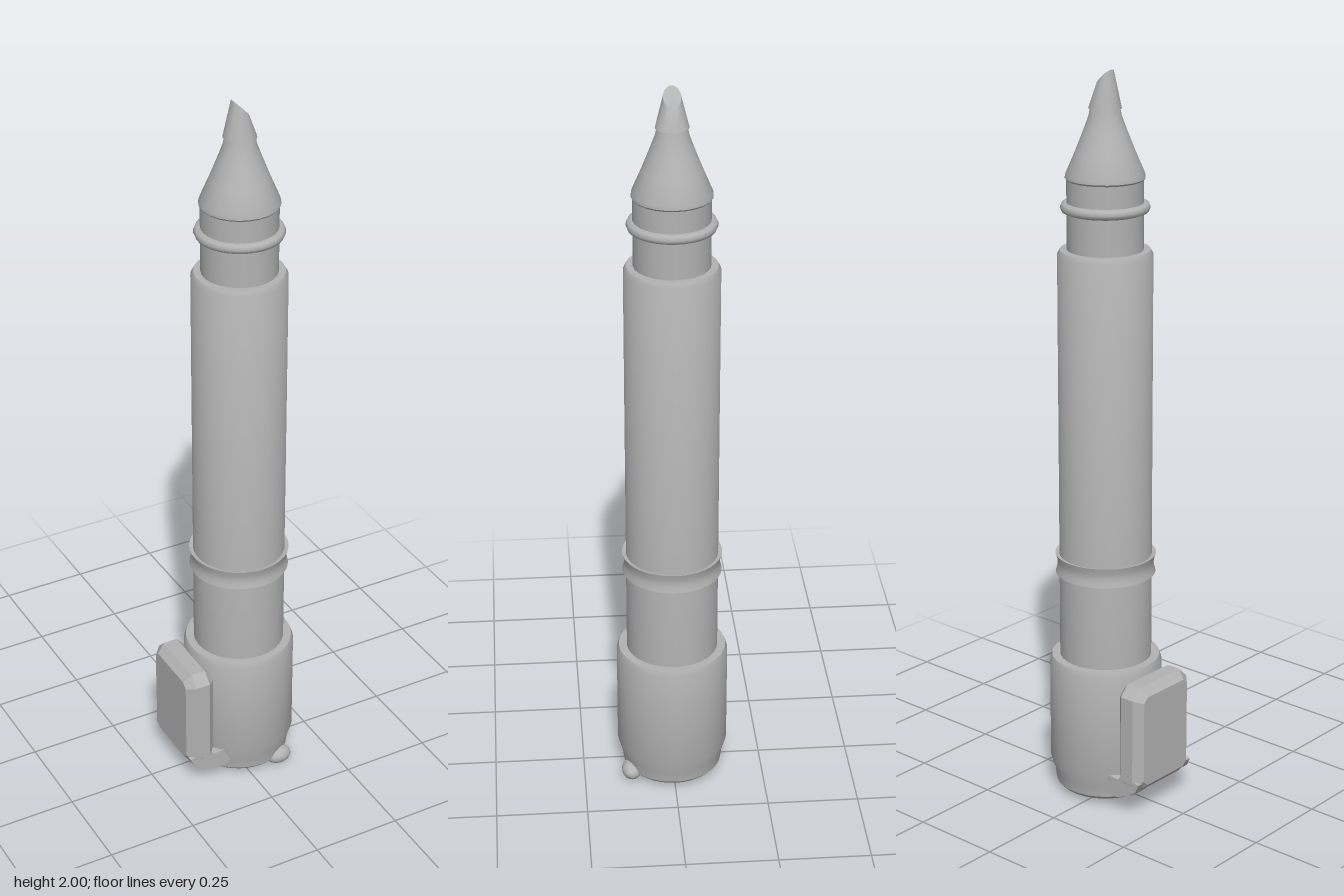
import * as THREE from 'three';
import { toCreasedNormals } from 'three/addons/utils/BufferGeometryUtils.js';

const AXIS_X = 0.03;

export function createModel() {
  const group = new THREE.Group();
  const grey = new THREE.MeshStandardMaterial({ color: 0xb3b3b3 });

  const add = (name, geometry, x = AXIS_X, y = 0, z = 0) => {
    const mesh = new THREE.Mesh(geometry, grey);
    mesh.name = name;
    mesh.position.set(x, y, z);
    group.add(mesh);
    return mesh;
  };
  // Round part from [radius, height] pairs, bottom to top
  const turned = (name, profile, sides = 40) => {
    const points = profile.map(([r, y]) => new THREE.Vector2(r, y));
    return add(name, toCreasedNormals(new THREE.LatheGeometry(points, sides), 0.6));
  };

  // Cap with recessed end
  turned('cap', [
    [0, 0.035], [0.098, 0.035], [0.102, 0.018], [0.128, 0.018], [0.137, 0.028],
    [0.141, 0.06], [0.153, 0.1], [0.153, 0.385], [0.147, 0.402], [0.122, 0.402],
  ]);

  // Barrel and its flared band
  turned('barrel', [[0.125, 0.38], [0.125, 1.522], [0.118, 1.535], [0.095, 1.535]]);
  turned('barrelBand', [
    [0.122, 0.645], [0.135, 0.643], [0.131, 0.657], [0.13, 0.668],
    [0.131, 0.68], [0.136, 0.697], [0.122, 0.694],
  ]);

  // Neck, neck ring and tapered front
  turned('neck', [[0.1, 1.52], [0.1, 1.72]], 24);
  const ring = add('neckRing', new THREE.TorusGeometry(0.103, 0.014, 8, 32), AXIS_X, 1.646);
  ring.rotation.x = Math.PI / 2;
  turned('taper', [
    [0.098, 1.715], [0.104, 1.722], [0.103, 1.732], [0.078, 1.79],
    [0.058, 1.84], [0.043, 1.88], [0.037, 1.908], [0, 1.908],
  ], 24);

  // Chisel nib: the top of a tapered cylinder is sheared to a slope
  const nib = new THREE.CylinderGeometry(0.0225, 0.043, 0.1, 20, 1);
  const p = nib.attributes.position;
  for (let i = 0; i < p.count; i++) {
    if (p.getY(i) > 0) p.setY(i, 0.0275 - p.getX(i));
  }
  add('nib', toCreasedNormals(nib, 0.6), AXIS_X, 1.95);

  // Clip plate with bevelled edges, extruded outwards from the cap
  const w = 0.09, low = 0.095, high = 0.355, c = 0.015;
  const plate = new THREE.Shape([
    [-w + c, low], [w - c, low], [w, low + c], [w, high - c],
    [w - c, high], [-w + c, high], [-w, high - c], [-w, low + c],
  ].map(([a, b]) => new THREE.Vector2(a, b)));
  const clip = add('clip', new THREE.ExtrudeGeometry(plate, {
    depth: 0.041, bevelEnabled: true, bevelThickness: 0.022, bevelSize: 0.023, bevelSegments: 1,
  }), -0.122);
  clip.rotation.y = -Math.PI / 2;

  // Curled foot joining the clip to the cap
  const foot = new THREE.Shape([
    [-0.182, 0.105], [-0.172, 0.082], [-0.145, 0.062], [-0.105, 0.045], [-0.065, 0.05],
    [-0.05, 0.066], [-0.052, 0.085], [-0.07, 0.102], [-0.11, 0.1], [-0.125, 0.12],
  ].map(([a, b]) => new THREE.Vector2(a, b)));
  const footGeometry = new THREE.ExtrudeGeometry(foot, { depth: 0.22, bevelEnabled: false });
  add('clipFoot', toCreasedNormals(footGeometry, 0.6), 0, 0, -0.11);

  // Small nub on the cap's rim
  const nub = add('rimNub', new THREE.SphereGeometry(1, 14, 10), 0.095, 0.027, 0.118);
  nub.scale.set(0.038, 0.025, 0.028);

  return group;
}
